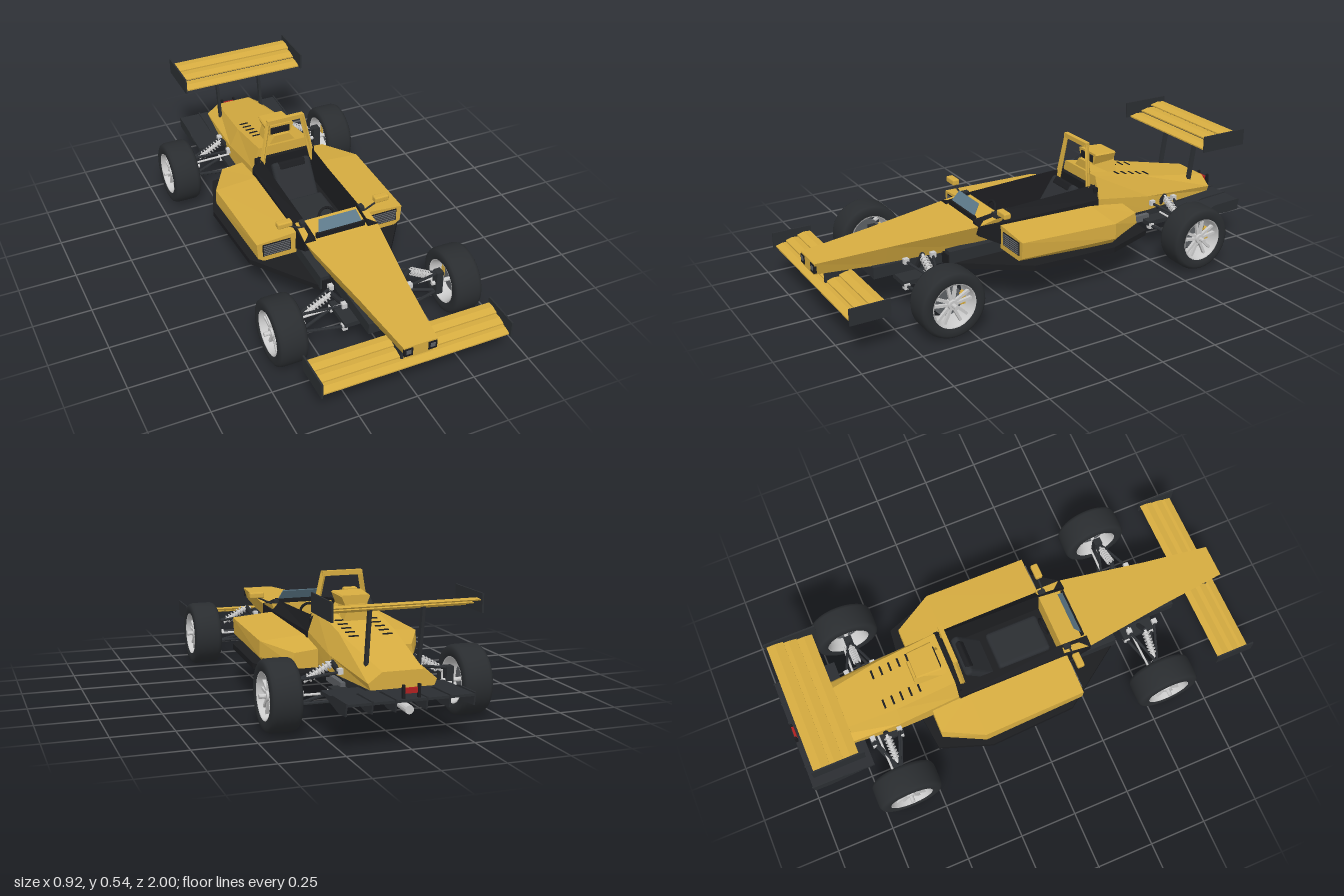
import * as THREE from 'three';
import { RoundedBoxGeometry } from 'three/addons/geometries/RoundedBoxGeometry.js';

const mat = (color, flat = true) => new THREE.MeshStandardMaterial({ color, flatShading: flat, side: THREE.DoubleSide });
const yellow = mat(0xd6ac40), dark = mat(0x2b2e32), black = mat(0x1c1d20), glass = mat(0x5f7c8c);
const grey = mat(0xcccccc), steel = mat(0x5c5f63), rubber = mat(0x2a2d30, false), alloy = mat(0xcccccc, false), red = mat(0xb02020);

function add(parent, name, geometry, material, pos = [0, 0, 0], rot = [0, 0, 0]) {
  const m = new THREE.Mesh(geometry, material);
  m.name = name;
  m.position.set(...pos);
  m.rotation.set(...rot);
  parent.add(m);
  return m;
}
const box = (parent, name, size, pos, material, rot) =>
  add(parent, name, new THREE.BoxGeometry(...size), material, pos, rot);

// Round bar between two points
function rod(parent, name, a, b, r, material, sides = 8) {
  const A = new THREE.Vector3(...a), d = new THREE.Vector3(...b).sub(A);
  const m = add(parent, name, new THREE.CylinderGeometry(r, r, d.length(), sides), material);
  m.position.copy(A).addScaledVector(d, 0.5);
  m.quaternion.setFromUnitVectors(new THREE.Vector3(0, 1, 0), d.normalize());
  return m;
}

// Skin over rings [z, [[x, y], ...]] ordered from front to back, counter-clockwise from the front
function loft(sections) {
  const n = sections[0][1].length, pos = [], idx = [];
  for (const [z, pts] of sections) for (const [x, y] of pts) pos.push(x, y, z);
  for (let s = 0; s < sections.length - 1; s++) {
    for (let i = 0; i < n; i++) {
      const a = s * n + i, b = s * n + (i + 1) % n;
      idx.push(a, a + n, b, b, a + n, b + n);
    }
  }
  const last = (sections.length - 1) * n;
  for (let i = 1; i < n - 1; i++) idx.push(0, i, i + 1, last, last + i + 1, last + i);
  const g = new THREE.BufferGeometry();
  g.setAttribute('position', new THREE.Float32BufferAttribute(pos, 3));
  g.setIndex(idx);
  const flat = g.toNonIndexed();
  flat.computeVertexNormals();
  return flat;
}
// Right half of a ring, bottom to top, completed by its mirror image
const sym = half => [...half, ...half.map(([x, y]) => [-x, y]).reverse()];

// Plate outline in (z, y), extruded along x and centred at x
function sidePlate(pts, width, x) {
  const g = new THREE.ExtrudeGeometry(new THREE.Shape(pts.map(p => new THREE.Vector2(...p))), { depth: width, bevelEnabled: false });
  return g.rotateY(-Math.PI / 2).translate(x + width / 2, 0, 0);
}
const aerofoil = (z, y, chord, rise, span) => sidePlate([
  [z, y], [z + chord * 0.05, y - 0.005], [z + chord * 0.5, y - 0.009], [z + chord, y - rise],
  [z + chord, y - rise + 0.006], [z + chord * 0.5, y + 0.002]], span, 0);

function makeWheel() {
  const w = new THREE.Group();
  w.name = 'wheel';
  const lathe = (pts, seg) => new THREE.LatheGeometry(pts.map(p => new THREE.Vector2(...p)), seg).rotateZ(-Math.PI / 2);
  add(w, 'tyre', lathe([[0.09, -0.055], [0.105, -0.062], [0.125, -0.061], [0.135, -0.055], [0.1405, -0.042],
    [0.141, 0], [0.1405, 0.042], [0.135, 0.055], [0.125, 0.061], [0.105, 0.062], [0.09, 0.055]], 40), rubber);
  add(w, 'rimBarrel', lathe([[0.094, -0.058], [0.088, -0.056], [0.084, -0.03], [0.082, 0.02], [0.088, 0.056], [0.094, 0.058]], 36), alloy);
  add(w, 'brakeDisc', new THREE.CylinderGeometry(0.062, 0.062, 0.01, 28).rotateZ(Math.PI / 2), steel, [-0.004, 0, 0]);
  box(w, 'caliper', [0.025, 0.05, 0.022], [0, 0, -0.06], yellow);
  // five split spokes
  for (let i = 0; i < 5; i++) {
    const spoke = new THREE.Group();
    spoke.name = 'spoke';
    for (const s of [-1, 1]) box(spoke, 'spokeArm', [0.013, 0.075, 0.011], [0.033, 0.052, s * 0.012], grey, [s * 0.17, 0, 0]);
    spoke.rotation.x = i * Math.PI * 0.4;
    w.add(spoke);
  }
  add(w, 'hub', new THREE.CylinderGeometry(0.02, 0.024, 0.026, 16).rotateZ(-Math.PI / 2), alloy, [0.035, 0, 0]);
  rod(w, 'axle', [-0.1, 0, 0], [0.074, 0, 0], 0.009, grey, 10);
  return w;
}

// Suspension of one +x corner around the axle at z
function makeCorner(z, inner) {
  const c = new THREE.Group();
  c.name = 'suspension';
  const wheel = makeWheel();
  wheel.position.set(0.386, 0.141, z);
  c.add(wheel);
  box(c, 'upright', [0.03, 0.11, 0.035], [0.315, 0.145, z], dark);
  for (const s of [-1, 1]) {
    rod(c, 'upperWishbone', [inner, 0.225, z + s * 0.06], [0.315, 0.19, z], 0.006, dark);
    rod(c, 'lowerWishbone', [inner - 0.005, 0.115, z + s * 0.06], [0.315, 0.097, z], 0.007, dark);
    box(c, 'armMount', [0.022, 0.024, 0.024], [inner - 0.005, 0.115, z + s * 0.06], grey);
    box(c, 'armMount', [0.02, 0.022, 0.022], [inner, 0.228, z + s * 0.06], grey);
  }
  rod(c, 'trackRod', [0.1, 0.14, z - 0.035], [0.315, 0.14, z - 0.03], 0.005, grey);
  // coil-over damper
  const a = new THREE.Vector3(0.17, 0.25, z), b = new THREE.Vector3(0.285, 0.185, z);
  rod(c, 'damper', a.toArray(), b.toArray(), 0.009, grey, 10);
  for (let i = 0; i < 7; i++) {
    const coil = add(c, 'springCoil', new THREE.TorusGeometry(0.015, 0.0035, 6, 14), alloy);
    coil.position.lerpVectors(a, b, 0.15 + i * 0.11);
    coil.quaternion.setFromUnitVectors(new THREE.Vector3(0, 0, 1), b.clone().sub(a).normalize());
  }
  rod(c, 'damperBracket', [0.12, 0.18, z], [0.175, 0.255, z], 0.011, dark);
  box(c, 'subframe', [0.1, 0.02, 0.15], [inner - 0.05, 0.128, z], dark);
  return c;
}

export function createModel() {
  const car = new THREE.Group();
  car.name = 'racingCar';

  // Nose and scuttle
  add(car, 'nose', loft([
    [0.995, sym([[0.055, 0.218], [0.072, 0.27]])], [0.7, sym([[0.075, 0.2], [0.108, 0.286]])],
    [0.32, sym([[0.115, 0.205], [0.165, 0.31], [0.11, 0.318]].slice(0, 2))], [0.2, sym([[0.12, 0.205], [0.158, 0.33]])]]), yellow);
  for (const s of [-1, 1]) {
    box(car, 'noseLamp', [0.036, 0.036, 0.012], [s * 0.051, 0.246, 0.992], black);
    box(car, 'noseLampLens', [0.02, 0.018, 0.004], [s * 0.051, 0.248, 0.998], steel);
    box(car, 'wingPylon', [0.01, 0.06, 0.1], [s * 0.05, 0.195, 0.9], dark);
  }
  add(car, 'windscreen', loft([[0.305, [[-0.1, 0.325], [0.1, 0.325], [0.1, 0.33], [-0.1, 0.33]]],
    [0.272, [[-0.085, 0.372], [0.085, 0.372], [0.085, 0.376], [-0.085, 0.376]]]]), glass);
  box(car, 'screenBase', [0.22, 0.022, 0.012], [0, 0.323, 0.305], black);

  // Cockpit tub, seat and floor
  box(car, 'tubFloor', [0.3, 0.05, 0.75], [0, 0.185, 0.08], black);
  box(car, 'cockpitBulkhead', [0.28, 0.15, 0.02], [0, 0.275, -0.275], black);
  add(car, 'seatPan', new RoundedBoxGeometry(0.17, 0.05, 0.24, 2, 0.015), dark, [0, 0.225, 0.05]);
  add(car, 'seatBack', new RoundedBoxGeometry(0.18, 0.2, 0.04, 2, 0.015), dark, [0, 0.265, -0.16], [-0.6, 0, 0]);
  add(car, 'headrest', new RoundedBoxGeometry(0.13, 0.04, 0.03, 2, 0.01), black, [0, 0.335, -0.2], [-0.6, 0, 0]);
  add(car, 'steeringWheel', new THREE.TorusGeometry(0.035, 0.006, 8, 20), black, [0, 0.3, 0.17], [-0.4, 0, 0]);
  const floor = new THREE.Shape(sym([[0.15, -0.44], [0.335, -0.18], [0.35, -0.16], [0.368, 0.22], [0.29, 0.44], [0.16, 0.455]])
    .map(p => new THREE.Vector2(...p)));
  add(car, 'floor', new THREE.ExtrudeGeometry(floor, { depth: 0.024, bevelEnabled: false }).rotateX(-Math.PI / 2), black, [0, 0.148, 0]);
  box(car, 'frontKeel', [0.19, 0.05, 0.36], [0, 0.18, 0.58], dark);

  // Engine cover and its vents
  add(car, 'engineCover', loft([
    [-0.285, sym([[0.15, 0.19], [0.152, 0.3], [0.118, 0.396]])], [-0.55, sym([[0.155, 0.195], [0.155, 0.26], [0.115, 0.344]])],
    [-0.91, sym([[0.125, 0.205], [0.135, 0.23], [0.08, 0.27]])]]), yellow);
  for (let i = 0; i < 5; i++) for (const s of [-1, 1]) {
    const z = -0.43 - i * 0.04;
    box(car, 'coverVent', [0.04, 0.006, 0.008], [s * 0.07, 0.396 + (z + 0.285) * 0.197, z], black, [-0.2, 0, 0]);
  }
  add(car, 'airboxNeck', loft([[-0.3, sym([[0.07, 0.38], [0.035, 0.43]])], [-0.44, sym([[0.06, 0.35], [0.035, 0.43]])]]), yellow);
  add(car, 'airbox', loft([[-0.322, sym([[0.048, 0.42], [0.066, 0.465], [0.06, 0.471]])],
    [-0.43, sym([[0.045, 0.425], [0.06, 0.46], [0.055, 0.466]])]]), yellow);
  add(car, 'airIntake', new RoundedBoxGeometry(0.092, 0.032, 0.01, 2, 0.004), black, [0, 0.445, -0.321]);

  // Roll hoop
  for (const s of [-1, 1])
    add(car, 'rollHoopLeg', loft([[-0.24, [0.113, 0.137].map(x => [s * x, 0.3])], [-0.262, [0.07, 0.09].map(x => [s * x, 0.54])]]
      .map(([z, [p, q]]) => [z, [p, q]]).flatMap(r => [r])), yellow);
  for (const s of [-1, 1]) rod(car, 'rollHoopTube', [s * 0.122, 0.31, -0.25], [s * 0.079, 0.532, -0.264], 0.011, yellow, 4);
  box(car, 'rollHoopTop', [0.17, 0.02, 0.02], [0, 0.532, -0.264], yellow);

  // Front wing
  for (const [z, y] of [[0.93, 0.17], [0.885, 0.185], [0.833, 0.199]])
    add(car, 'frontWingElement', aerofoil(z, y, 0.058, 0.012, 0.8), yellow);
  // Rear wing
  for (const [z, y] of [[-0.83, 0.483], [-0.895, 0.5], [-0.95, 0.52]])
    add(car, 'rearWingElement', aerofoil(z, y, 0.07, 0.012, 0.57), yellow);

  // Gearbox, exhaust, diffuser and rear lamp
  box(car, 'gearbox', [0.2, 0.07, 0.4], [0, 0.175, -0.6], dark);
  box(car, 'engineSump', [0.24, 0.03, 0.17], [0, 0.14, -0.5], steel);
  rod(car, 'exhaust', [0, 0.145, -0.75], [0, 0.14, -0.975], 0.017, grey, 14);
  add(car, 'diffuser', sidePlate([[-0.72, 0.155], [-0.86, 0.165], [-0.995, 0.175], [-0.995, 0.185], [-0.72, 0.17]], 0.5, 0), dark);
  for (const x of [-0.248, -0.15, -0.06, 0.06, 0.15, 0.248])
    add(car, 'diffuserFin', sidePlate([[-0.78, 0.16], [-0.92, 0.135], [-0.99, 0.14], [-0.998, 0.19], [-0.86, 0.185]], 0.006, x), dark);
  for (const s of [-1, 1]) box(car, 'rearLampPost', [0.01, 0.05, 0.012], [s * 0.03, 0.213, -0.988], black);
  box(car, 'rearLamp', [0.05, 0.02, 0.01], [0, 0.215, -0.985], red);

  // Parts that repeat on both sides
  const side = new THREE.Group();
  side.name = 'leftSide';
  add(side, 'sidePod', loft([
    [0.212, [[0.15, 0.188], [0.305, 0.188], [0.33, 0.205], [0.335, 0.278], [0.15, 0.293]]],
    [-0.24, [[0.15, 0.165], [0.315, 0.165], [0.345, 0.198], [0.343, 0.265], [0.15, 0.28]]],
    [-0.41, [[0.15, 0.18], [0.23, 0.18], [0.26, 0.2], [0.25, 0.245], [0.15, 0.255]]]]), yellow);
  box(side, 'radiatorInlet', [0.125, 0.058, 0.006], [0.247, 0.242, 0.212], black);
  for (let i = 0; i < 6; i++) box(side, 'radiatorSlat', [0.118, 0.003, 0.006], [0.247, 0.22 + i * 0.009, 0.216], steel);
  add(side, 'cockpitSide', loft([
    [0.32, [[0.115, 0.27], [0.166, 0.27], [0.166, 0.312], [0.12, 0.326]]],
    [0.2, [[0.115, 0.2], [0.162, 0.2], [0.158, 0.3], [0.122, 0.342]]],
    [-0.28, [[0.115, 0.2], [0.156, 0.2], [0.154, 0.3], [0.122, 0.36]]]]), black);
  box(side, 'tubFlank', [0.04, 0.06, 0.26], [0.137, 0.195, 0.32], dark);
  add(side, 'mirror', new RoundedBoxGeometry(0.065, 0.026, 0.032, 2, 0.006), yellow, [0.221, 0.368, 0.232]);
  rod(side, 'mirrorStalk', [0.14, 0.32, 0.23], [0.215, 0.357, 0.23], 0.004, dark);
  box(side, 'mirrorMount', [0.02, 0.03, 0.03], [0.135, 0.33, 0.22], dark);
  box(side, 'frontWingEndplate', [0.007, 0.07, 0.17], [0.403, 0.188, 0.913], dark);
  box(side, 'rearWingEndplate', [0.007, 0.072, 0.222], [0.288, 0.508, -0.849], dark);
  add(side, 'rearWingStrut', sidePlate([[-0.8, 0.26], [-0.82, 0.26], [-0.855, 0.49], [-0.835, 0.49]], 0.012, 0.105), dark);
  side.add(makeCorner(0.58, 0.145), makeCorner(-0.627, 0.16));
  const other = side.clone();
  other.name = 'rightSide';
  other.scale.x = -1;
  car.add(side, other);
  return car;
}
